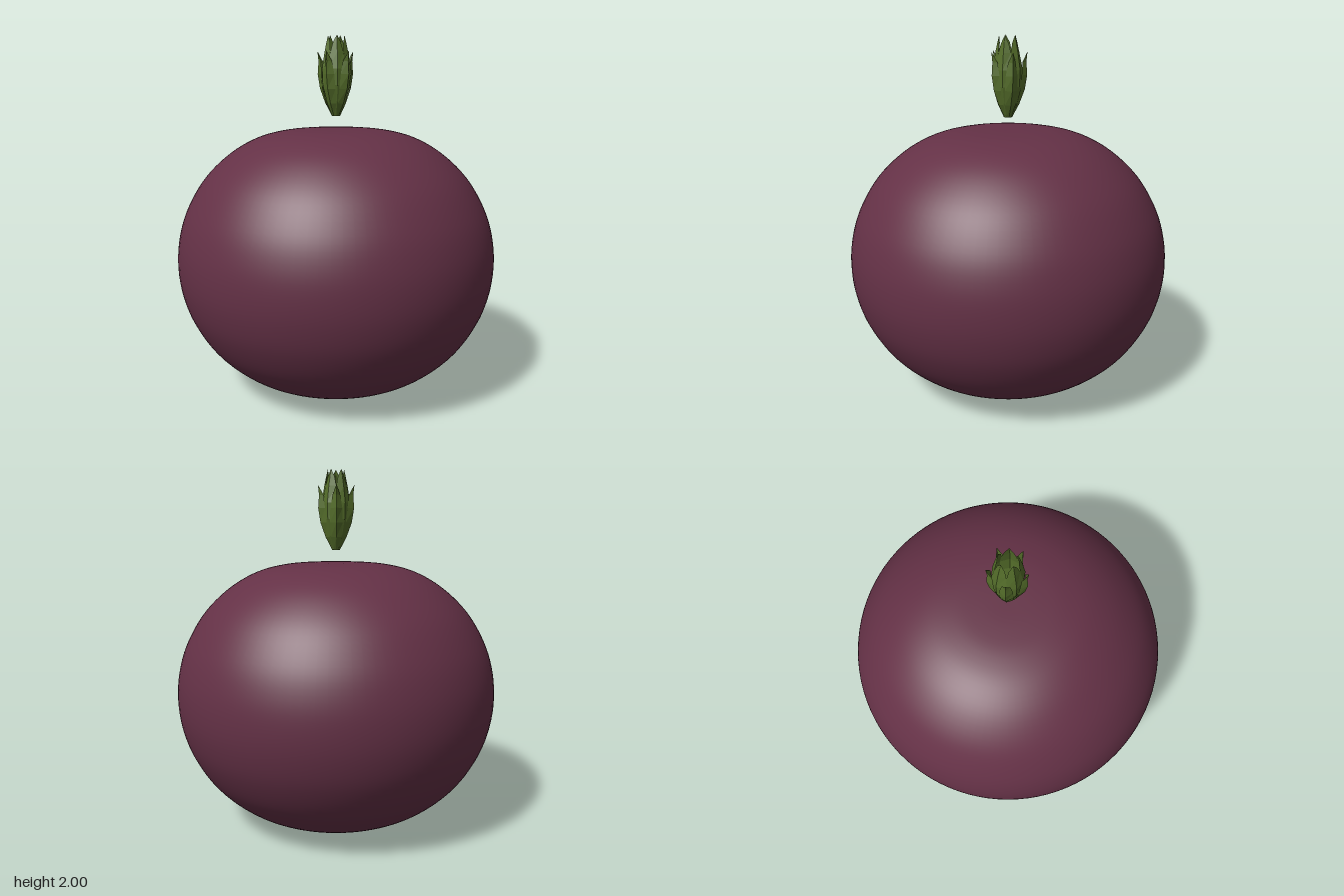
import * as THREE from 'three';

const skin = new THREE.MeshStandardMaterial({ color: 0x643146 });
skin.name = 'plumSkin';
const leafGreen = new THREE.MeshStandardMaterial({ color: 0x546d2a, flatShading: true, side: THREE.DoubleSide });
leafGreen.name = 'leafGreen';

// Folded leaf from rows of [y, ridge radius, edge radius, half width]; it faces +z
function leafGeometry(rows) {
  const pos = [];
  const section = ([y, ridge, edge, w]) => [[-w, y, edge], [0, y, ridge], [w, y, edge]];
  for (let i = 0; i < rows.length - 1; i++) {
    const a = section(rows[i]), b = section(rows[i + 1]);
    for (let j = 0; j < 2; j++) {
      pos.push(...a[j], ...a[j + 1], ...b[j + 1], ...a[j], ...b[j + 1], ...b[j]);
    }
  }
  const g = new THREE.BufferGeometry();
  g.setAttribute('position', new THREE.Float32BufferAttribute(pos, 3));
  g.computeVertexNormals();
  return g;
}

export function createModel() {
  const model = new THREE.Group();

  // Round fruit, flattened at top and bottom
  const half = [[0, 0.741], [0.15, 0.74], [0.3, 0.728], [0.45, 0.688], [0.6, 0.603],
    [0.74, 0.47], [0.84, 0.305], [0.89, 0.15]];
  const points = [
    ...half.map(([r, y]) => new THREE.Vector2(r, 0.745 - y)),
    new THREE.Vector2(0.905, 0.745),
    ...half.map(([r, y]) => new THREE.Vector2(r, 0.745 + y)).reverse(),
  ];
  const profile = new THREE.SplineCurve(points).getPoints(80);
  profile.forEach((p) => { p.x = Math.max(0, p.x); });
  const body = new THREE.Mesh(new THREE.LatheGeometry(profile, 96), skin);
  body.name = 'fruitBody';
  model.add(body);

  // Closed bud floating above the fruit: two rings of five folded leaves
  const bud = new THREE.Group();
  bud.name = 'leafBud';
  const outer = leafGeometry([
    [1.56, 0.024, 0.02, 0.014], [1.63, 0.062, 0.048, 0.03], [1.71, 0.092, 0.068, 0.036],
    [1.79, 0.105, 0.076, 0.033], [1.86, 0.1, 0.08, 0.021], [1.915, 0.106, 0.106, 0.001],
  ]);
  const inner = leafGeometry([
    [1.56, 0.022, 0.018, 0.014], [1.64, 0.056, 0.046, 0.035], [1.73, 0.08, 0.064, 0.048],
    [1.82, 0.084, 0.064, 0.048], [1.91, 0.069, 0.05, 0.036], [1.96, 0.058, 0.046, 0.022],
    [2.0, 0.048, 0.048, 0.001],
  ]);
  for (let i = 0; i < 5; i++) {
    const angle = (i * Math.PI * 2) / 5;
    const sepal = new THREE.Mesh(outer, leafGreen);
    sepal.name = 'outerLeaf';
    sepal.rotation.y = Math.PI + angle;
    const petal = new THREE.Mesh(inner, leafGreen);
    petal.name = 'innerLeaf';
    petal.rotation.y = angle;
    bud.add(sepal, petal);
  }

  // Small knob closing the bottom of the bud
  const knob = new THREE.Mesh(new THREE.CylinderGeometry(0.03, 0.024, 0.025, 10), leafGreen);
  knob.name = 'budBase';
  knob.position.y = 1.57;
  bud.add(knob);
  model.add(bud);

  return model;
}
